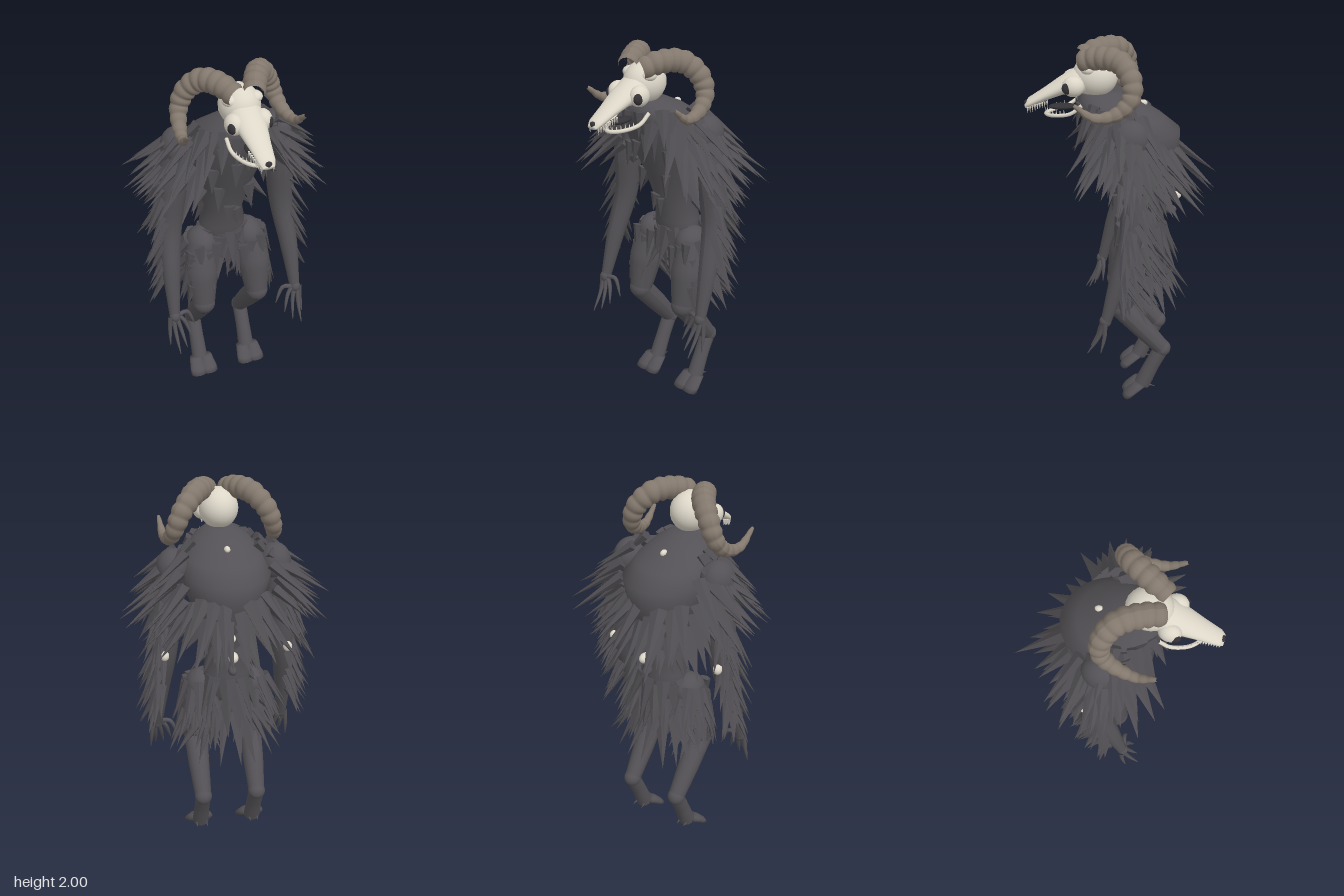
import * as THREE from 'three';
import { mergeGeometries, mergeVertices } from 'three/addons/utils/BufferGeometryUtils.js';

const V = (x, y, z) => new THREE.Vector3(x, y, z);

export function createModel() {
  const model = new THREE.Group();
  model.name = 'hornedBeast';
  const mat = (name, color, flatShading = false) => {
    const m = new THREE.MeshStandardMaterial({ color, flatShading });
    m.name = name;
    return m;
  };
  const skin = mat('dark hide', 0x535155), fur = mat('dark fur', 0x4f4d51, true);
  const bone = mat('bone', 0xddd7c9), horn = mat('horn', 0x83786d), black = mat('black', 0x343236);
  let seed = 7;
  const rnd = () => (seed = (seed * 16807) % 2147483647) / 2147483647;
  const jit = (a) => (rnd() * 2 - 1) * a;

  const add = (name, geo, material) => {
    const m = new THREE.Mesh(geo, material);
    m.name = name;
    model.add(m);
    return m;
  };
  const ball = (name, p, sx, sy, sz, material) => {
    const m = add(name, new THREE.SphereGeometry(1, 24, 16), material);
    m.position.copy(p);
    m.scale.set(sx, sy, sz);
  };

  // Tapered tube along a smooth path; radius(t) gives the thickness
  const taper = (pts, radius, seg = 16, sides = 12) => {
    const curve = new THREE.CatmullRomCurve3(pts);
    const geo = new THREE.TubeGeometry(curve, seg, 1, sides);
    const pos = geo.attributes.position, v = V(0, 0, 0);
    for (let i = 0; i < pos.count; i++) {
      const t = Math.floor(i / (sides + 1)) / seg, c = curve.getPointAt(t);
      v.fromBufferAttribute(pos, i).sub(c).multiplyScalar(radius(t)).add(c);
      pos.setXYZ(i, v.x, v.y, v.z);
    }
    geo.computeVertexNormals();
    return geo;
  };
  const lerpR = (list) => (t) => {
    const f = t * (list.length - 1), i = Math.min(Math.floor(f), list.length - 2);
    return list[i] + (list[i + 1] - list[i]) * (f - i);
  };

  // Closed loft; each ring is [half width, y1, z1, y2, z2]
  const loft = (rings, n = 32) => {
    const cap = ([, y1, z1, y2, z2]) => [0, (y1 + y2) / 2, (z1 + z2) / 2, (y1 + y2) / 2, (z1 + z2) / 2];
    const all = [cap(rings[0]), ...rings, cap(rings[rings.length - 1])];
    const pos = [], idx = [];
    all.forEach(([w, y1, z1, y2, z2], i) => {
      for (let j = 0; j < n; j++) {
        const a = (j / n) * Math.PI * 2, c = Math.cos(a) / 2;
        pos.push(w * Math.sin(a), (y1 + y2) / 2 + (y1 - y2) * c, (z1 + z2) / 2 + (z1 - z2) * c);
        if (i < all.length - 1) {
          const p = i * n + j, q = i * n + (j + 1) % n;
          idx.push(p, q, q + n, p, q + n, p + n);
        }
      }
    });
    const geo = new THREE.BufferGeometry();
    geo.setAttribute('position', new THREE.Float32BufferAttribute(pos, 3));
    geo.setIndex(idx);
    const g = mergeVertices(geo, 1e-5);
    g.computeVertexNormals();
    return g;
  };

  // Flattened spike pointing along dir, its broad side facing out
  const spike = (list, base, dir, out, len, r, flat = 0.55, sides = 5) => {
    const y = dir.clone().normalize(), x = y.clone().cross(out).normalize(), z = x.clone().cross(y);
    const g = new THREE.ConeGeometry(1, 1, sides).translate(0, 0.42, 0);
    g.scale(r, len, r * flat);
    g.applyMatrix4(new THREE.Matrix4().makeBasis(x, y, z).setPosition(base));
    list.push(g);
  };

  // Torso with hunched back
  add('torso', loft([
    [0.06, 0.84, -0.06, 0.84, -0.14], [0.13, 0.92, 0.0, 0.9, -0.2], [0.125, 1.03, 0.02, 1.03, -0.21],
    [0.105, 1.13, 0.03, 1.13, -0.2], [0.145, 1.3, 0.09, 1.3, -0.23], [0.2, 1.45, 0.16, 1.42, -0.28],
    [0.235, 1.58, 0.21, 1.54, -0.285], [0.2, 1.66, 0.24, 1.61, -0.2], [0.14, 1.71, 0.24, 1.69, -0.08],
    [0.07, 1.745, 0.21, 1.74, 0.03]]), skin);
  [[1.68, -0.09, 0.02, bone], [1.26, -0.24, 0.022, bone], [1.165, -0.265, 0.032, bone], [1.08, -0.245, 0.028, skin]]
    .forEach(([y, z, r, m]) => ball('vertebra', V(0, y, z), r * 0.8, r * 0.85, r * 1.15, m));

  // Skull
  ball('cranium', V(0, 1.828, 0.15), 0.102, 0.107, 0.115, bone);
  add('snout', loft([
    [0.03, 1.685, 0.512, 1.665, 0.505], [0.042, 1.715, 0.49, 1.67, 0.485], [0.055, 1.765, 0.41, 1.705, 0.4],
    [0.072, 1.82, 0.33, 1.735, 0.31], [0.085, 1.868, 0.25, 1.735, 0.24], [0.085, 1.885, 0.18, 1.74, 0.17]]), bone);
  ball('nose', V(0, 1.69, 0.502), 0.018, 0.014, 0.012, black);
  ball('tongue', V(0, 1.668, 0.32), 0.035, 0.016, 0.07, black);
  const jawPath = [V(-0.095, 1.7, 0.22), V(-0.09, 1.655, 0.28), V(-0.05, 1.635, 0.37), V(0, 1.632, 0.405),
    V(0.05, 1.635, 0.37), V(0.09, 1.655, 0.28), V(0.095, 1.7, 0.22)];
  add('jaw', taper(jawPath, () => 0.01, 36, 8), bone);
  const teeth = [];
  const jaw = new THREE.CatmullRomCurve3(jawPath);
  for (let i = 0; i < 13; i++) {
    spike(teeth, jaw.getPointAt(0.23 + i * 0.045), V(0, 1, 0), V(0, 0, 1), 0.035, 0.006, 1);
  }

  // Fur ring rows: [y, x radius, z radius, centre z, start angle, end angle, count, length, outward]
  const mantle = [];
  const deg = Math.PI / 180;
  const rows = [
    [1.67, 0.2, 0.19, 0.04, 25, 110, 6, 0.2, 0.6], [1.64, 0.28, 0.17, 0.01, 35, 125, 7, 0.23, 0.85],
    [1.57, 0.32, 0.21, -0.01, 32, 130, 9, 0.27, 0.85], [1.49, 0.33, 0.24, -0.02, 40, 135, 9, 0.28, 0.85],
    [1.43, 0.29, 0.24, -0.03, 60, 178, 10, 0.27, 0.7], [1.35, 0.26, 0.2, -0.05, 70, 178, 9, 0.26, 0.65],
    [1.27, 0.16, 0.15, -0.08, 55, 178, 6, 0.18, 0.4], [1.19, 0.11, 0.11, -0.09, 95, 165, 3, 0.15, 0.35]];
  const skirtRows = [[0.97, 0.14, 0.12, -0.1, 5, 178, 8, 0.22, 0.34], [0.88, 0.14, 0.11, -0.1, 5, 178, 8, 0.25, 0.4],
    [0.8, 0.17, 0.12, -0.1, 95, 178, 5, 0.25, 0.45]];
  const ringRows = (list, table, s) => table.forEach(([y, rx, rz, zc, a0, a1, n, len, k]) => {
    for (let i = 0; i < n; i++) {
      const a = (a0 + (a1 - a0) * (i + 0.5 + jit(0.3)) / n) * deg;
      const out = V(s * Math.sin(a), 0, Math.cos(a));
      const base = V(out.x * (rx - 0.015), y + jit(0.03), zc + out.z * (rz - 0.015));
      const k2 = k * (0.72 + 0.6 * Math.sin(a) ** 4 + 0.4 * Math.max(0, -out.z));
      const dir = out.clone().multiplyScalar(k2 + jit(0.15)).add(V(jit(0.15), -0.75, jit(0.1)));
      const back = a > 155 * deg && y > 1.3 ? 1.2 : 1;
      spike(list, base, dir, out, len * back * (1 + jit(0.22)), 0.043 + jit(0.008), 0.6);
    }
  });

  const skirt = [], armFur = [], chest = [];
  for (const s of [-1, 1]) {
    const P = (x, y, z) => V(s * x, y, z);
    const side = s > 0 ? 'left' : 'right';

    // Eye sockets with cheek bones, and upper teeth
    ball(side + 'EyeSocket', P(0.072, 1.79, 0.262), 0.046, 0.052, 0.056, bone);
    ball(side + 'Eye', P(0.094, 1.787, 0.286), 0.02, 0.031, 0.033, black);
    ball(side + 'Temple', P(0.06, 1.875, 0.185), 0.042, 0.03, 0.04, bone);
    for (let i = 0; i < 9; i++) {
      const t = i / 8;
      spike(teeth, P(0.03 + 0.022 * t, 1.672 + 0.038 * t, 0.495 - 0.1 * t), V(0, -1, 0), V(0, 0, 1), 0.034, 0.006, 1);
    }

    // Ridged curling horn
    const hornR = lerpR([0.053, 0.058, 0.058, 0.055, 0.05, 0.041, 0.031, 0.021, 0.009]);
    add(side + 'Horn', taper([P(0.045, 1.908, 0.222), P(0.09, 1.937, 0.13), P(0.15, 1.93, 0.035), P(0.215, 1.86, -0.018),
      P(0.25, 1.775, -0.015), P(0.27, 1.71, 0.05), P(0.29, 1.695, 0.16), P(0.3, 1.765, 0.262)],
    (t) => hornR(t) * (0.9 + 0.14 * Math.abs(Math.sin(t * Math.PI * 15))), 120, 16), horn);

    // Shoulder and long arm
    ball(side + 'Shoulder', P(0.265, 1.575, -0.01), 0.085, 0.1, 0.1, skin);
    add(side + 'Arm', taper([P(0.27, 1.58, -0.01), P(0.298, 1.35, -0.02), P(0.32, 1.1, -0.02), P(0.345, 0.85, 0.05),
      P(0.36, 0.6, 0.12)], lerpR([0.08, 0.077, 0.062, 0.048, 0.028]), 24, 16), skin);
    ball(side + 'ElbowSpur', P(0.33, 1.12, -0.09), 0.024, 0.028, 0.028, bone);
    ball(side + 'Palm', P(0.36, 0.605, 0.122), 0.03, 0.035, 0.032, skin);

    // Clawed fingers: [base x, tip x, tip y, tip z]
    [[0.385, 0.4, 0.43, 0.15], [0.372, 0.365, 0.41, 0.22], [0.355, 0.32, 0.43, 0.2], [0.345, 0.28, 0.47, 0.17],
      [0.335, 0.245, 0.51, 0.12]].forEach(([bx, tx, ty, tz]) => {
      add(side + 'Claw', taper([P(bx, 0.61, 0.125), P(bx + (tx - bx) * 0.5, ty + 0.1, 0.11 + (tz - 0.11) * 0.45),
        P(tx, ty, tz)], lerpR([0.014, 0.012, 0.009, 0.002]), 10, 7), skin);
    });

    // Backward-bent leg
    ball(side + 'Hip', P(0.135, 0.92, -0.06), 0.085, 0.095, 0.1, skin);
    add(side + 'Thigh', taper([P(0.14, 0.94, -0.055), P(0.155, 0.77, -0.01), P(0.16, 0.57, 0.035)],
      lerpR([0.085, 0.092, 0.062]), 12, 16), skin);
    ball(side + 'Knee', P(0.16, 0.575, 0.035), 0.064, 0.064, 0.064, skin);
    add(side + 'Shin', taper([P(0.16, 0.57, 0.035), P(0.155, 0.43, -0.085), P(0.151, 0.29, -0.2)],
      lerpR([0.062, 0.058, 0.045]), 12, 16), skin);
    ball(side + 'Hock', P(0.151, 0.29, -0.2), 0.048, 0.048, 0.048, skin);
    add(side + 'Cannon', taper([P(0.151, 0.29, -0.2), P(0.151, 0.18, -0.145), P(0.151, 0.055, -0.09)],
      lerpR([0.043, 0.042, 0.046]), 12, 16), skin);

    // Cloven hoof and dewclaws
    for (const k of [-1, 1]) {
      const toe = add(side + 'Hoof', loft([[0.05, 0, 0.025, 0, -0.03], [0.048, 0.025, 0.01, 0.02, -0.055],
        [0.034, 0.078, -0.04, 0.06, -0.11]], 14), skin);
      toe.position.x = s * 0.151 + k * 0.033;
      spike(skirt, P(0.151 + k * 0.025, 0.065, -0.11), V(k * 0.1, -0.3, -1), V(0, 1, 0), 0.06, 0.012, 1);
    }

    ringRows(mantle, rows, s);
    ringRows(skirt, skirtRows, s);

    // Fur down the outside and back of the arm
    for (let i = 0; i < 40; i++) {
      const t = i / 39, y = 1.42 - 0.62 * t, a = (58 + 115 * rnd()) * deg;
      const r = 0.06 - 0.03 * t, out = V(s * Math.sin(a), 0, Math.cos(a));
      const base = P(0.3 + 0.05 * t, y, -0.02 + 0.08 * Math.max(0, t - 0.35)).addScaledVector(out, r);
      spike(armFur, base, out.clone().multiplyScalar(0.62 + jit(0.14)).add(V(0, -1, -0.12)), out,
        0.22 - 0.03 * t + jit(0.04), 0.031 + jit(0.005), 0.6);
    }

    // Shaggy thigh fur, sparse in front and flaring at the back
    for (let i = 0; i < 40; i++) {
      const t = i / 39, y = 0.96 - 0.26 * t, a = (50 + 185 * rnd()) * deg;
      const out = V(s * Math.sin(a), 0, Math.cos(a));
      const base = P(0.137 + 0.02 * t, y, -0.06 + 0.06 * t).addScaledVector(out, 0.088 - 0.01 * t);
      const k = out.z < 0 ? 0.55 : 0.25;
      spike(skirt, base, out.clone().multiplyScalar(k + jit(0.1)).add(V(0, -1, -0.15)), out,
        0.2 + jit(0.04), 0.034 + jit(0.006));
    }
    for (const x of [0.08, 0.13, 0.18]) {
      spike(skirt, P(x, 0.93 + jit(0.04), 0.035), V(jit(0.1), -1, 0.16), V(0, 0, 1), 0.18, 0.032);
    }

    // Sparse tufts on chest and belly: [x, y, z]
    [[0.04, 1.66, 0.235], [0.1, 1.6, 0.19], [0.025, 1.54, 0.19], [0.13, 1.47, 0.13], [0.08, 1.32, 0.085],
      [0.015, 1.2, 0.06], [0.04, 0.99, 0.01]].forEach(([x, y, z]) => {
      spike(chest, P(x, y + jit(0.03), z), V(s * 0.1, -1, 0.05 + 0.1 * rnd()), V(0, 0, 1), 0.13 + jit(0.03), 0.036);
    });
  }

  // Hanging fur between the legs
  for (let i = 0; i < 14; i++) {
    spike(skirt, V(-0.09 + 0.014 * i, 0.87 + jit(0.05), -0.09 + jit(0.08)), V(jit(0.15), -1, jit(0.2)), V(0, 0, 1),
      0.25 + jit(0.05), 0.033);
  }

  add('mantleFur', mergeGeometries(mantle), fur);
  add('skirtFur', mergeGeometries(skirt), fur);
  add('armFur', mergeGeometries(armFur), fur);
  add('chestFur', mergeGeometries(chest), fur);
  add('teeth', mergeGeometries(teeth), bone);

  // The body stands slightly off the centre line
  model.children.forEach((m) => { m.position.x -= 0.014; });
  return model;
}
